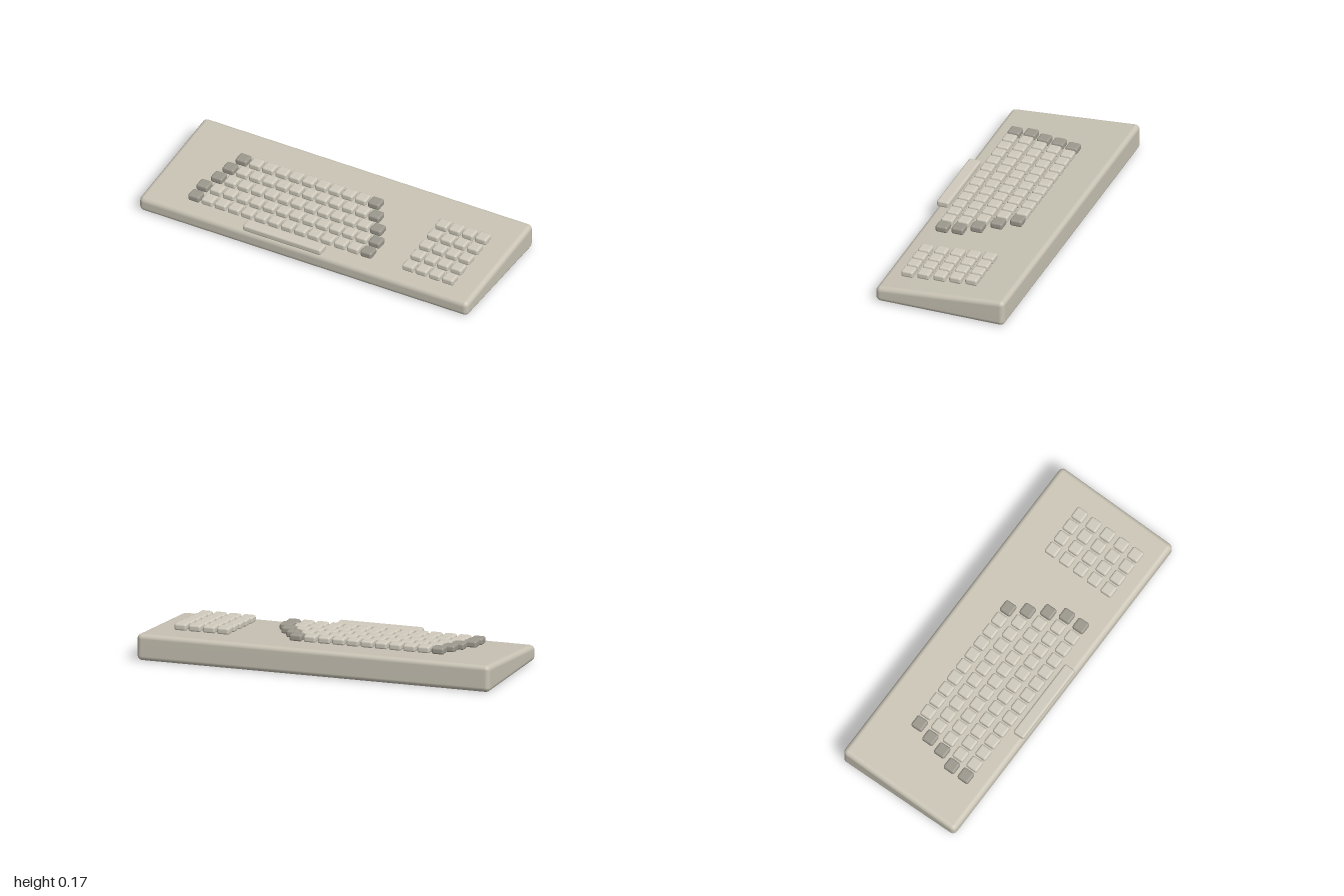
import * as THREE from 'three';
import { RoundedBoxGeometry } from 'three/addons/geometries/RoundedBoxGeometry.js';
import { mergeVertices } from 'three/addons/utils/BufferGeometryUtils.js';

const SLOPE = 0.084, MID_HEIGHT = 0.117, DEPTH = 0.736;
const PITCH = 0.0806, KEY = 0.069, KEY_HEIGHT = 0.038;

function material(name, color) {
  const m = new THREE.MeshStandardMaterial({ color });
  m.name = name;
  return m;
}

// Rounded slab whose upper half rises towards the back
function wedgeGeometry() {
  let g = new RoundedBoxGeometry(2, MID_HEIGHT, DEPTH, 5, 0.027);
  g.deleteAttribute('uv');
  g.deleteAttribute('normal');
  g.clearGroups();
  g = mergeVertices(g, 1e-5);
  const p = g.attributes.position;
  for (let i = 0; i < p.count; i++) {
    const y = p.getY(i);
    p.setY(i, y + MID_HEIGHT / 2 - (y > 0 ? SLOPE * p.getZ(i) : 0));
  }
  g.computeVertexNormals();
  return g;
}

export function createModel() {
  const model = new THREE.Group();
  model.name = 'keyboard';
  const caseMat = material('warm grey case', 0xc8c3b4);
  const keyMat = material('light key', 0xcfcabc);
  const darkMat = material('dark key', 0x9c988e);

  const body = new THREE.Mesh(wedgeGeometry(), caseMat);
  body.name = 'case';
  model.add(body);

  const keyGeo = new RoundedBoxGeometry(KEY, KEY_HEIGHT, KEY, 3, 0.012);
  const addKey = (parent, geo, mat, name, x, z) => {
    const key = new THREE.Mesh(geo, mat);
    key.name = name;
    key.position.set(x, 0.147 - 0.0855 * z + 0.0075 - KEY_HEIGHT / 2, z);
    parent.add(key);
  };

  // Staggered main rows with darker end keys: [first key x, key count]
  const rows = [[-0.631, 11], [-0.66, 12], [-0.68, 13], [-0.718, 14], [-0.718, 14]];
  const mainKeys = new THREE.Group();
  mainKeys.name = 'mainKeys';
  const numberPad = new THREE.Group();
  numberPad.name = 'numberPad';
  rows.forEach(([x0, count], r) => {
    const z = -0.125 + r * 0.0915;
    for (let i = 0; i < count; i++) {
      const end = i === 0 || i === count - 1;
      addKey(mainKeys, keyGeo, end ? darkMat : keyMat, end ? 'endKey' : 'key', x0 + i * PITCH, z);
    }
    for (let i = 0; i < 4; i++) addKey(numberPad, keyGeo, keyMat, 'padKey', 0.585 + i * PITCH, z);
  });
  model.add(mainKeys, numberPad);

  // Space bar
  const barGeo = new RoundedBoxGeometry(0.476, KEY_HEIGHT, KEY, 3, 0.012);
  addKey(model, barGeo, keyMat, 'spaceBar', -0.131, 0.333);

  return model;
}
